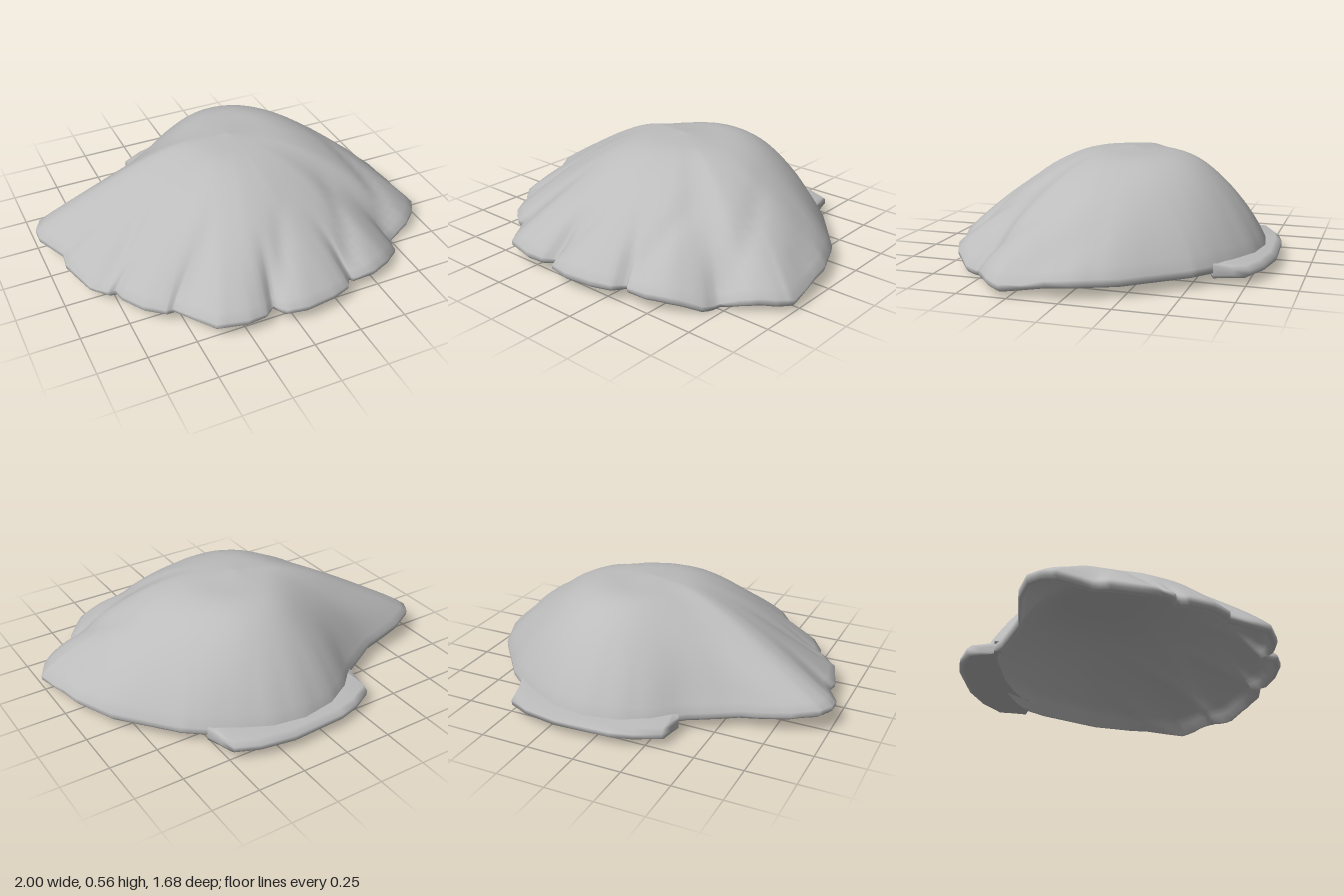
import * as THREE from 'three';

// Rim of the shell as x, z, counterclockwise from above
const RIM = [
  [-0.37, -0.55], [-0.60, -0.42], [-0.84, -0.37], [-0.96, -0.31], [-1.00, -0.24], [-1.00, -0.17],
  [-0.92, -0.02], [-0.93, 0.06], [-0.87, 0.26], [-0.80, 0.335], [-0.76, 0.34], [-0.75, 0.40],
  [-0.68, 0.51], [-0.59, 0.58], [-0.55, 0.58], [-0.41, 0.775], [-0.26, 0.81], [-0.16, 0.80],
  [-0.10, 0.755], [-0.06, 0.82], [0.05, 0.84], [0.20, 0.82], [0.30, 0.785], [0.345, 0.72],
  [0.37, 0.745], [0.48, 0.74], [0.59, 0.69], [0.70, 0.595], [0.73, 0.50], [0.86, 0.45],
  [0.95, 0.37], [1.00, 0.29], [0.95, -0.03], [0.86, -0.24], [0.63, -0.52], [0.53, -0.60],
  [0.40, -0.68], [0.25, -0.75], [0.08, -0.775], [-0.10, -0.745], [-0.24, -0.67],
];

// Outer edge of the hinge plate as x, z, right to left
const HINGE = [
  [0.53, -0.60], [0.505, -0.69], [0.485, -0.765], [0.37, -0.815], [0.19, -0.845],
  [-0.10, -0.83], [-0.21, -0.80], [-0.33, -0.735], [-0.34, -0.66], [-0.35, -0.59],
];

const APEX = { x: 0.03, y: 0.57, z: -0.06 };
const THICKNESS = 0.04;
const { smoothstep, lerp } = THREE.MathUtils;

// Skin a list of equally long point rows
function loft(rows, closed) {
  const n = rows[0].length, index = [];
  for (let i = 0; i < rows.length - 1; i++) {
    for (let j = 0; j < (closed ? n : n - 1); j++) {
      const k = (j + 1) % n;
      const a = i * n + j, b = a + n, c = (i + 1) * n + k, d = i * n + k;
      index.push(a, b, c, a, c, d);
    }
  }
  const geo = new THREE.BufferGeometry();
  geo.setAttribute('position', new THREE.Float32BufferAttribute(rows.flat(2), 3));
  geo.setIndex(index);
  geo.computeVertexNormals();
  return geo;
}

// Rim in short straight pieces, each point paired with its smoothed, notch-free place
function fineRim(steps) {
  const fine = RIM.flatMap(([x, z], j) => {
    const [u, v] = RIM[(j + 1) % RIM.length];
    return Array.from({ length: steps }, (_, s) => [lerp(x, u, s / steps), lerp(z, v, s / steps)]);
  });
  const reach = 2 * steps, n = fine.length;
  return fine.map(([x, z], j) => {
    let sx = 0, sz = 0;
    for (let d = -reach; d <= reach; d++) {
      const q = fine[(j + d + n) % n];
      sx += q[0] / (2 * reach + 1);
      sz += q[1] / (2 * reach + 1);
    }
    return { x, z, sx, sz };
  });
}

// Upper edge of the rim: raised at the left ear, dipped at the front right
function rimHeight(x, z) {
  const bump = (cx, cz, r) => Math.exp(-((x - cx) ** 2 + (z - cz) ** 2) / (r * r));
  return 0.1 + 0.04 * bump(-0.95, -0.27, 0.25) - 0.055 * bump(0.72, 0.54, 0.14) - 0.03 * bump(1, 0.29, 0.15);
}

// Fullness of the dome: slopes gently to the left, bulges at the back and right
function fullness(x, z) {
  const r = Math.hypot(x, z), dx = x / r, dz = z / r;
  return 1.65 + 0.33 * dx - 0.5 * dz + 0.45 * dz * dz - 0.45 * dx * dz;
}

// Point on the dome at fraction t from apex to rim, with short grooves fanning out near the edge
function domePoint(p, t, drop) {
  const sharp = smoothstep(t, 0.6, 1);
  const x = lerp(APEX.x, lerp(p.sx, p.x, sharp), t);
  const z = lerp(APEX.z, lerp(p.sz, p.z, sharp), t);
  const slope = Math.pow(Math.max(0, (t - 0.2) / 0.8), fullness(p.sx, p.sz));
  const crown = 0.02 * Math.min(1, t / 0.25) * (1 - t);
  const y = lerp(APEX.y, rimHeight(p.x, p.z), slope) - crown;
  const fan = Math.atan2(x - 0.1, z + 0.7) - 0.3 * (1 - t);
  const fade = smoothstep(t, 0.45, 0.9) * (1 - 0.6 * smoothstep(t, 0.9, 1)) * smoothstep(z, -0.2, 0.15);
  const groove = 1 - Math.abs(Math.sin((fan - 0.17) * Math.PI / 0.31));
  return [x, y - 0.035 * groove * groove * fade - drop, z];
}

export function createModel() {
  const group = new THREE.Group();
  group.name = 'seashell';
  const shellGrey = new THREE.MeshStandardMaterial({ color: 0xbcbcbc, side: THREE.DoubleSide });
  shellGrey.name = 'shell grey';

  // Ribbed dome: outer skin, rounded lip, inner skin
  const rim = fineRim(3), rows = [], N = 20;
  for (let i = 0; i <= N; i++) {
    const t = Math.pow(i / N, 0.75);
    rows.push(rim.map(p => domePoint(p, t, 0)));
  }
  for (const [t, drop] of [[1, 0.025], [0.985, THICKNESS], [0.965, THICKNESS]]) {
    rows.push(rim.map(({ x, z }) => [lerp(APEX.x, x, t), rimHeight(x, z) - drop, lerp(APEX.z, z, t)]));
  }
  for (let i = N; i >= 0; i--) {
    const t = 0.95 * Math.pow(i / N, 0.75);
    rows.push(rim.map(p => domePoint(p, t, THICKNESS)));
  }
  const dome = new THREE.Mesh(loft(rows, true), shellGrey);
  dome.name = 'ribbedDome';
  group.add(dome);

  // Rounded plate behind the dome, tucked in under its edge: inset and height per row
  const plateRows = [[1, 0.11], [0.15, 0.1], [0, 0.08], [0, 0.055], [0.15, 0.04], [1, 0.055]]
    .map(([inset, y]) => HINGE.map(([x, z], j) => {
      const arch = Math.sqrt(Math.max(0, Math.sin(Math.PI * j / (HINGE.length - 1))));
      return [x * (1 - 0.06 * inset * arch), y, z + 0.2 * arch * inset];
    }));
  const plate = new THREE.Mesh(loft(plateRows, false), shellGrey);
  plate.name = 'hingePlate';
  group.add(plate);

  return group;
}
